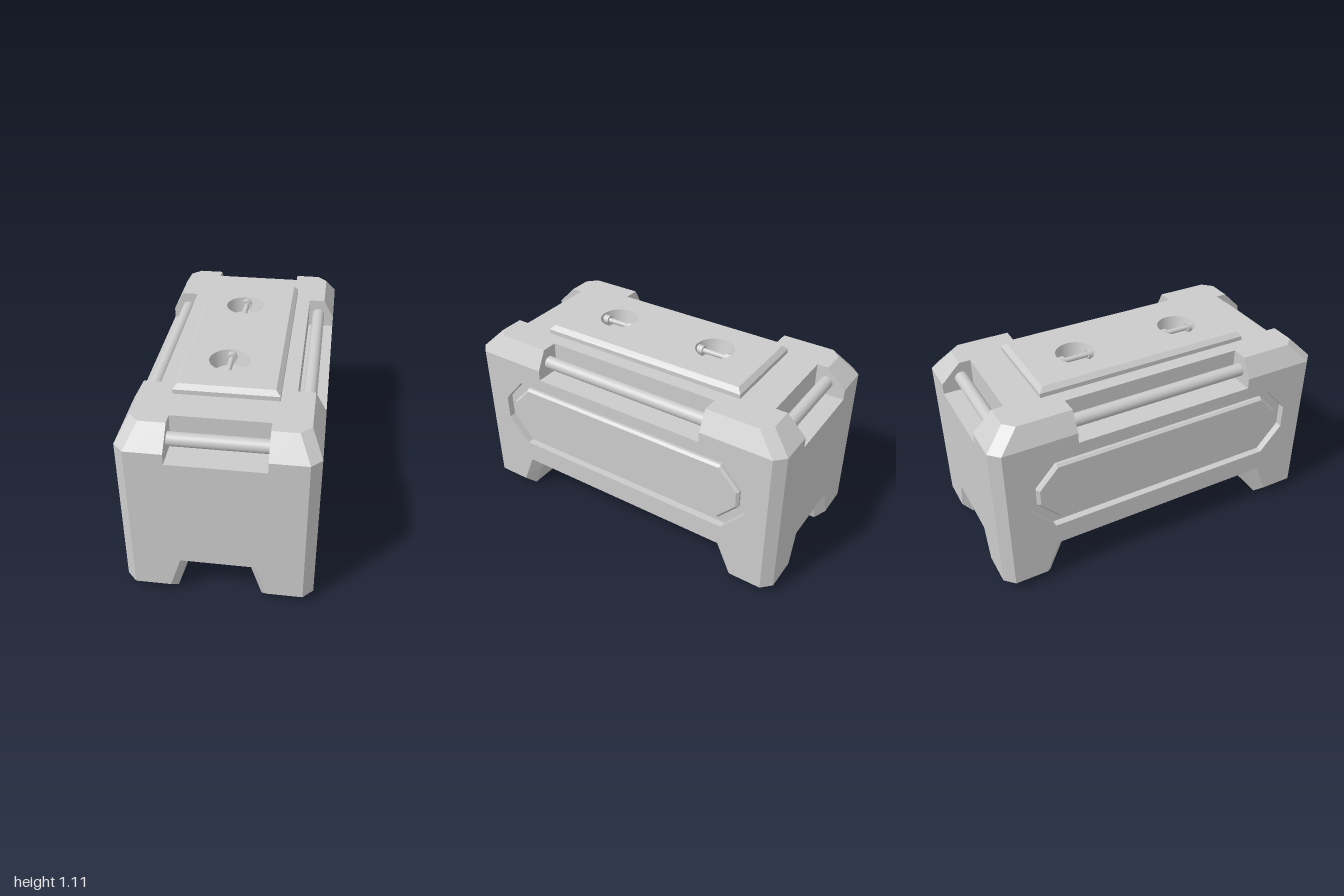
import * as THREE from 'three';
import { toCreasedNormals } from 'three/addons/utils/BufferGeometryUtils.js';

const grey = new THREE.MeshStandardMaterial({ color: 0xcccccc });
const greyDouble = new THREE.MeshStandardMaterial({ color: 0xcccccc, side: THREE.DoubleSide });

// Flat-faced solid through stacked rings of [x, y, z]; holes are [x, z] loops in the top cap
function loft(rings, holes = []) {
  const plan = (p) => new THREE.Vector2(p[p.length - 1], p[0]);
  if (THREE.ShapeUtils.isClockWise(rings[rings.length - 1].map(plan))) {
    rings = rings.map((r) => [...r].reverse());
  }
  const pos = [];
  const tri = (a, b, c) => {
    const [A, B, C] = [a, b, c].map((p) => new THREE.Vector3(...p));
    if (B.sub(A).cross(C.sub(A)).length() > 1e-9) pos.push(...a, ...b, ...c);
  };
  for (let k = 0; k + 1 < rings.length; k++) {
    const lo = rings[k], hi = rings[k + 1];
    lo.forEach((a, i) => {
      const j = (i + 1) % lo.length;
      tri(a, lo[j], hi[j]);
      tri(a, hi[j], hi[i]);
    });
  }
  const cap = (ring, cuts, up) => {
    const pts = [...ring];
    for (const h of cuts) for (const [x, z] of h) pts.push([x, ring[0][1], z]);
    const faces = THREE.ShapeUtils.triangulateShape(ring.map(plan), cuts.map((h) => h.map(plan)));
    for (const f of faces) {
      const [a, b, c] = f.map((i) => pts[i]);
      const ny = (b[2] - a[2]) * (c[0] - a[0]) - (b[0] - a[0]) * (c[2] - a[2]);
      if ((ny > 0) === up) tri(a, b, c);
      else tri(a, c, b);
    }
  };
  cap(rings[0], [], false);
  cap(rings[rings.length - 1], holes, true);
  const g = new THREE.BufferGeometry();
  g.setAttribute('position', new THREE.Float32BufferAttribute(pos, 3));
  g.computeVertexNormals();
  return g;
}

// Chamfered rectangle at height y; side = [inner x, half z] and end = [half x, inner z] cut notches
function outline(y, X, Z, c, side, end) {
  const q = [[X, Z - c], [X - c, Z]];
  if (side) q.unshift([side[0], side[1]], [X, side[1]]);
  if (end) q.push([end[0], Z], [end[0], end[1]]);
  const flip = (pts, sx, sz) => pts.map(([x, z]) => [x * sx, y, z * sz]);
  const r = [...q].reverse();
  return [...flip(q, 1, 1), ...flip(r, -1, 1), ...flip(q, -1, -1), ...flip(r, 1, -1)];
}

const circle = (cx, cz, r, n = 32) => Array.from({ length: n }, (_, i) => {
  const a = (i / n) * Math.PI * 2;
  return [cx + r * Math.cos(a), cz + r * Math.sin(a)];
});

const octagon = (w, h, cx, cy) => [
  [w, h - cy], [w - cx, h], [cx - w, h], [-w, h - cy],
  [-w, cy - h], [cx - w, -h], [w - cx, -h], [w, cy - h],
].map(([x, y]) => new THREE.Vector2(x, y));

export function createModel() {
  const root = new THREE.Group();
  const add = (name, geo, x = 0, y = 0, z = 0, parent = root, mat = grey) => {
    const m = new THREE.Mesh(geo, mat);
    m.name = name;
    m.position.set(x, y, z);
    parent.add(m);
    return m;
  };

  const sockets = [[-0.022, -0.31], [-0.022, 0.344]];

  // Body: chamfered base, core recessed for the side panels, top with handle notches
  add('bodyBase', loft([
    outline(0.19, 0.455, 0.945, 0.045),
    outline(0.245, 0.51, 1, 0.055),
    outline(0.3, 0.51, 1, 0.055),
  ]));
  const panelCut = [0.47, 0.9];
  add('bodyCore', loft([0.3, 0.885].map((y) => outline(y, 0.51, 1, 0.055, panelCut))));
  const sideNotch = [0.358, 0.53], endNotch = [0.255, 0.825];
  add('bodyTop', loft([
    outline(0.885, 0.51, 1, 0.055, sideNotch, endNotch),
    outline(0.945, 0.51, 1, 0.055, sideNotch, endNotch),
    outline(1.055, 0.45, 0.89, 0.055, sideNotch, endNotch),
  ], sockets.map(([x, z]) => circle(x, z, 0.107))));

  // Feet: tapered corner blocks with bevelled outer edges
  for (const sx of [1, -1]) for (const sz of [1, -1]) {
    const a = [0.23, 0, 0.72], b = [0.455, 0, 0.72], e = [0.23, 0, 0.945];
    const rings = [
      [a, b, b, [0.455, 0, 0.9], [0.41, 0, 0.945], e, e],
      [a, b, [0.51, 0.055, 0.754], [0.51, 0.055, 0.945], [0.455, 0.055, 1], [0.26, 0.055, 1], e],
      [[0.17, 0.19, 0.636], [0.455, 0.19, 0.636], [0.51, 0.245, 0.674], [0.51, 0.245, 0.945],
        [0.455, 0.245, 1], [0.2, 0.245, 1], [0.17, 0.19, 0.945]],
    ];
    add('foot', loft(rings.map((r) => r.map(([x, y, z]) => [x * sx, y, z * sz]))));
  }

  // Side walls with an octagonal recess and a raised bevelled panel inside it
  const wall = new THREE.Shape([[-0.9, 0.3], [0.9, 0.3], [0.9, 0.885], [-0.9, 0.885]]
    .map(([x, y]) => new THREE.Vector2(x, y - 0.593)));
  wall.holes.push(new THREE.Path(octagon(0.815, 0.218, 0.13, 0.148)));
  const wallGeo = new THREE.ExtrudeGeometry(wall, { depth: 0.04, bevelEnabled: false });
  const panelGeo = new THREE.ExtrudeGeometry(new THREE.Shape(octagon(0.757, 0.166, 0.11, 0.12)), {
    depth: 0.015, bevelThickness: 0.014, bevelSize: 0.013, bevelSegments: 1,
  });
  for (const s of [1, -1]) {
    add('sideWall', wallGeo, s * 0.47, 0.593).rotation.y = s * Math.PI / 2;
    add('sidePanel', panelGeo, s * 0.47, 0.593).rotation.y = s * Math.PI / 2;
  }

  // Handle bars across the notches
  for (const s of [1, -1]) {
    add('endHandle', new THREE.CylinderGeometry(0.037, 0.037, 0.51, 32), 0, 0.961, s * 0.888)
      .rotation.z = Math.PI / 2;
    add('sideHandle', new THREE.CylinderGeometry(0.037, 0.037, 1.06, 32), s * 0.417, 0.961, 0)
      .rotation.x = Math.PI / 2;
  }

  // Lid plate with bevelled rim and round sockets
  add('lid', loft([
    outline(1.055, 0.277, 0.633, 0.0005),
    outline(1.08, 0.277, 0.633, 0.0005),
    outline(1.105, 0.252, 0.608, 0.0005),
  ], sockets.map(([x, z]) => circle(x, z, 0.111))));

  // Socket cups, each with a small bar held by two collars
  const cup = toCreasedNormals(new THREE.LatheGeometry(
    [[0, 1.02], [0.09, 1.02], [0.111, 1.105]].map((p) => new THREE.Vector2(...p)), 32), 0.6);
  for (const [x, z] of sockets) {
    const g = new THREE.Group();
    g.name = 'socket';
    g.position.set(x, 0, z);
    root.add(g);
    add('cup', cup, 0, 0, 0, g, greyDouble);
    add('pullBar', new THREE.CylinderGeometry(0.015, 0.015, 0.2, 16), 0, 1.07, 0, g).rotation.x = Math.PI / 2;
    for (const s of [1, -1]) {
      add('collar', new THREE.CylinderGeometry(0.028, 0.028, 0.035, 8), 0, 1.07, s * 0.088, g)
        .rotation.x = Math.PI / 2;
    }
  }
  return root;
}
